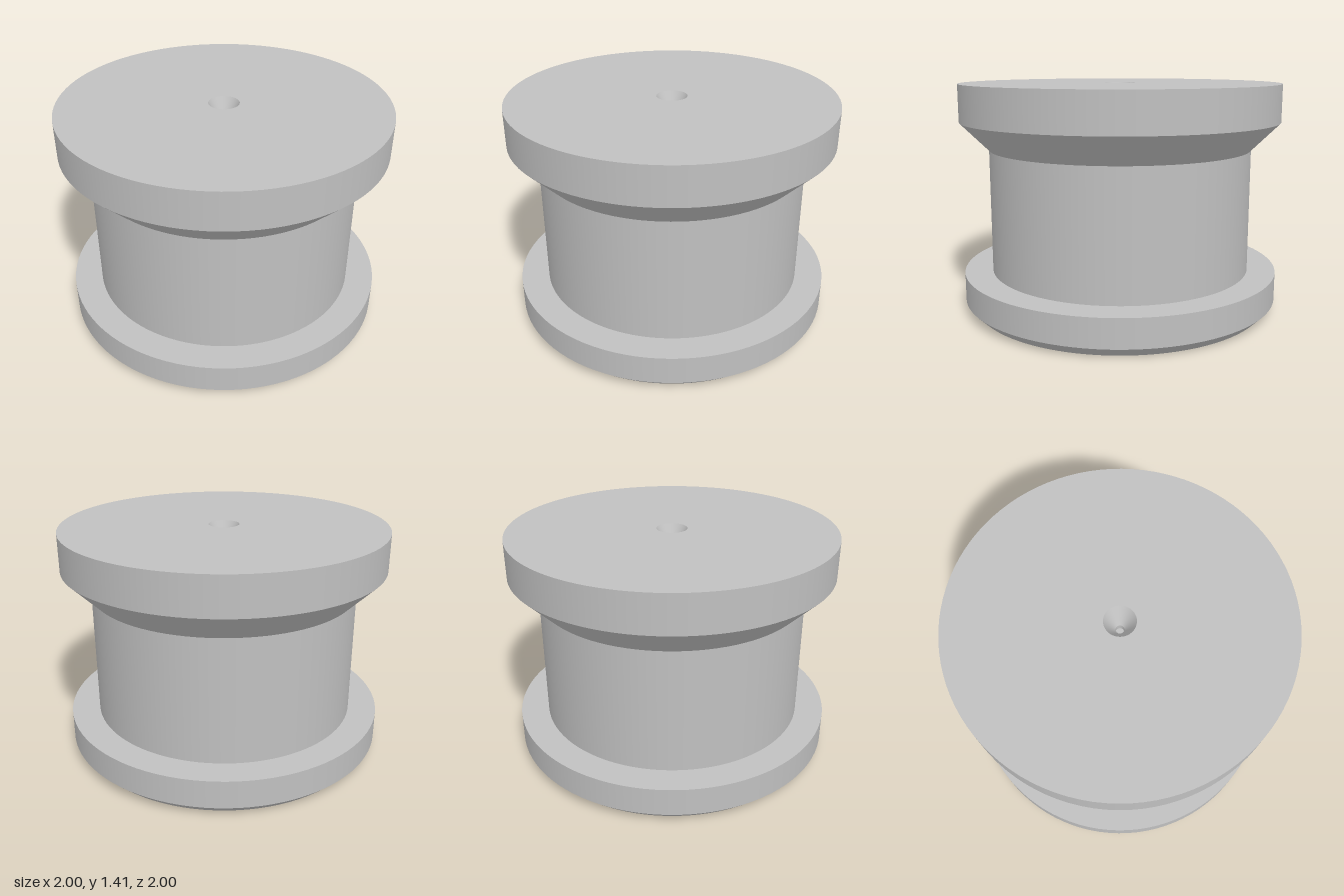
import * as THREE from 'three';
import { mergeGeometries } from 'three/addons/utils/BufferGeometryUtils.js';

const SEGMENTS = 96;

// Revolve each profile segment separately: smooth around, sharp between bands
function turned(profile) {
  const bands = [];
  for (let i = 0; i < profile.length - 1; i++) {
    const pair = [profile[i], profile[i + 1]].map(([r, y]) => new THREE.Vector2(r, y));
    bands.push(new THREE.LatheGeometry(pair, SEGMENTS));
  }
  return mergeGeometries(bands);
}

export function createModel() {
  const model = new THREE.Group();
  model.name = 'flangedSpool';
  const steel = new THREE.MeshStandardMaterial({ color: 0xc0c0c0 });
  steel.name = 'steel grey';

  // Profiles run as one continuous outline: [radius, height]
  const parts = {
    // blind hole from below with drill tip and chamfered mouth
    bottomBore: [[0, 0.89], [0.155, 0.8], [0.155, 0.045], [0.2, 0]],
    // lower flange with chamfered foot
    lowerFlange: [[0.2, 0], [0.94, 0], [1, 0.06], [1, 0.235], [0.825, 0.235]],
    // cylindrical core
    core: [[0.825, 0.235], [0.825, 1.005]],
    // upper flange with conical underside
    upperFlange: [[0.825, 1.005], [1, 1.18], [1, 1.41], [0.094, 1.41]],
    // centre-drilled hole with pilot
    centreHole: [[0.094, 1.41], [0.025, 1.29], [0.025, 1.25], [0, 1.25]],
  };

  for (const [name, profile] of Object.entries(parts)) {
    const mesh = new THREE.Mesh(turned(profile), steel);
    mesh.name = name;
    model.add(mesh);
  }
  return model;
}
